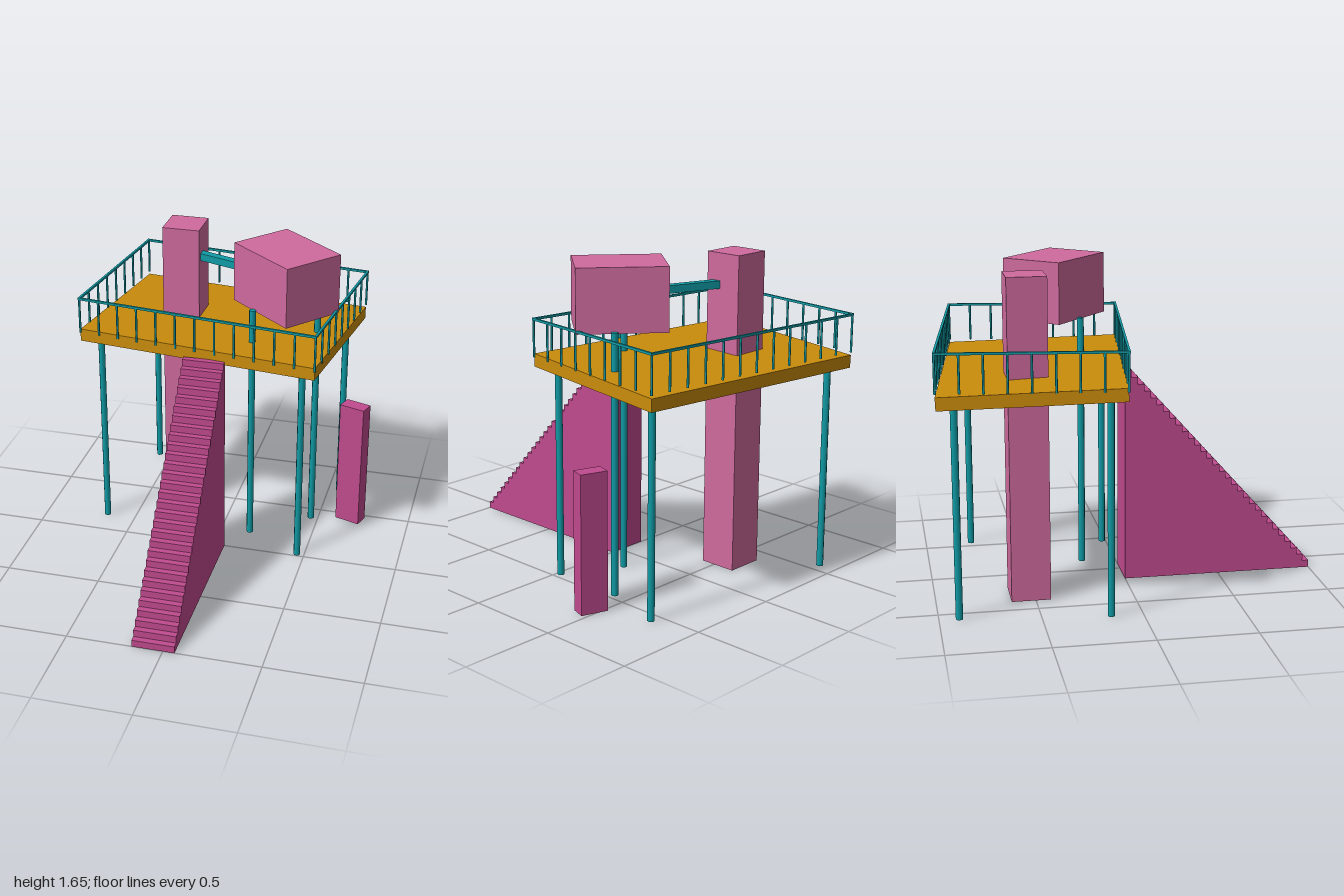
import * as THREE from 'three';

const mat = (name, color) => new THREE.MeshStandardMaterial({ name, color });

export function createModel() {
  const ochre = mat('ochre deck', 0xca8c0c);
  const teal = mat('teal metal', 0x109ca6);
  const rose = mat('rose block', 0xcf6b9e);
  const magenta = mat('magenta block', 0xc04a8e);
  const model = new THREE.Group();
  model.name = 'stairTower';

  function add(parent, name, geometry, material, x, y, z, yaw = 0) {
    const mesh = new THREE.Mesh(geometry, material);
    mesh.name = name;
    mesh.position.set(x, y, z);
    mesh.rotation.y = yaw;
    parent.add(mesh);
    return mesh;
  }
  const box = (w, h, d) => new THREE.BoxGeometry(w, h, d);

  // Turned upper level: a slightly tilted deck with a level railing
  const W = 1.3, D = 0.907;
  const upper = new THREE.Group();
  upper.name = 'upperLevel';
  upper.position.set(-0.05, 0, -0.46);
  upper.rotation.y = -0.123;
  model.add(upper);
  add(upper, 'deck', box(W, 0.066, D), ochre, 0, 1.119, 0).rotation.x = -0.037;

  // Railing: top bars and evenly spaced posts
  const railing = new THREE.Group();
  railing.name = 'railing';
  upper.add(railing);
  const postGeo = new THREE.CylinderGeometry(0.006, 0.006, 0.195, 6);
  const post = (x, z) => add(railing, 'railPost', postGeo, teal, x, 1.2475, z);
  for (const s of [-1, 1]) {
    add(railing, 'longRail', box(W + 0.012, 0.012, 0.012), teal, 0, 1.343, s * D / 2);
    add(railing, 'sideRail', box(0.012, 0.012, D + 0.012), teal, s * W / 2, 1.343, 0);
    for (let i = 0; i <= 12; i++) post(W * (i / 12 - 0.5), s * D / 2);
    for (let i = 1; i < 8; i++) post(s * W / 2, D * (i / 8 - 0.5));
  }

  // Legs under the deck corners, and two taller ones carrying the upper block
  const legs = [
    [-0.66, -0.16, 1.11], [-0.57, -0.9, 1.11], [0.56, -0.75, 1.11], [0.46, -0.02, 1.11],
    [0.16, -0.18, 1.34], [0.46, -0.41, 1.34],
  ];
  for (const [x, z, h] of legs) {
    const geo = new THREE.CylinderGeometry(0.018, 0.018, h, 8);
    add(model, h > 1.2 ? 'blockLeg' : 'deckLeg', geo, teal, x, h / 2, z);
  }

  // Tall column through the deck, raised block and the beam joining them
  add(model, 'tallColumn', box(0.2, 1.65, 0.2), rose, -0.29, 0.825, -0.523);
  add(model, 'raisedBlock', box(0.447, 0.32, 0.342), rose, 0.31, 1.49, -0.295, -0.706);
  add(model, 'linkBeam', box(0.44, 0.04, 0.045), teal, -0.04, 1.49, -0.427, -0.34);

  // Small pillar beside the deck
  add(model, 'smallPillar', box(0.142, 0.715, 0.08), magenta, 0.675, 0.3575, -0.46, -0.325);

  // Solid staircase: stepped side profile, extruded across its width
  const steps = 30, run = 1 / steps, rise = 1.12 / steps;
  const profile = new THREE.Shape();
  profile.moveTo(0, 0);
  profile.lineTo(1, 0);
  for (let i = 0; i < steps; i++) {
    profile.lineTo(1 - i * run, (i + 1) * rise);
    profile.lineTo(1 - (i + 1) * run, (i + 1) * rise);
  }
  const stairGeo = new THREE.ExtrudeGeometry(profile, { depth: 0.22, bevelEnabled: false });
  add(model, 'staircase', stairGeo, magenta, 0.06, 0, 0, -Math.PI / 2);

  return model;
}
